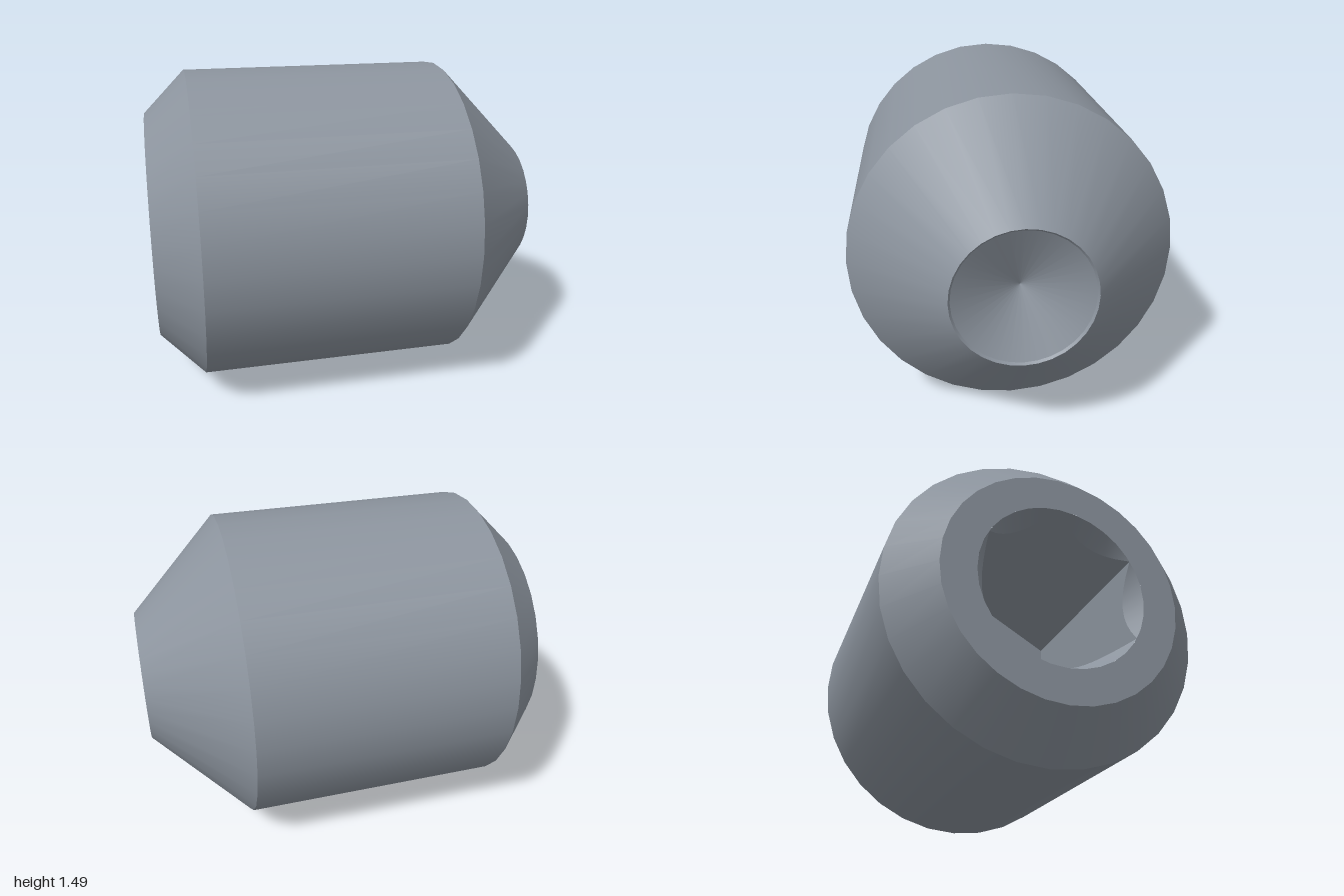
import * as THREE from 'three';
import { toCreasedNormals } from 'three/addons/utils/BufferGeometryUtils.js';

const SEGMENTS = 32;
const SOCKET_R = 0.385; // corner radius of the hex socket
const BACK = -0.903; // socket end, along the screw's own axis (local y)
const FLOOR = 0.05; // bottom of the socket

// Hex socket: conical lead-in trimmed by the flats, six walls and a floor.
function socketGeometry() {
  const steps = 48, perSide = steps / 6;
  const apothem = SOCKET_R * Math.cos(Math.PI / 6);
  const positions = [], index = [];
  for (let i = 0; i <= steps; i++) {
    const angle = (i / steps) * Math.PI * 2;
    const fromFlat = ((i % perSide) / perSide) * (Math.PI / 3) - Math.PI / 6;
    const hexR = apothem / Math.cos(fromFlat);
    const rings = [
      [SOCKET_R, BACK],
      [hexR, BACK + (SOCKET_R - hexR) * 1.73],
      [hexR, FLOOR],
      [0, FLOOR],
    ];
    for (const [r, y] of rings) positions.push(r * Math.cos(angle), y, r * Math.sin(angle));
  }
  for (let i = 0; i < steps; i++) {
    for (let j = 0; j < 3; j++) {
      const a = i * 4 + j, b = a + 4;
      index.push(a, b, a + 1);
      if (j < 2) index.push(b, b + 1, a + 1);
    }
  }
  const geometry = new THREE.BufferGeometry();
  geometry.setAttribute('position', new THREE.Float32BufferAttribute(positions, 3));
  geometry.setIndex(index);
  return toCreasedNormals(geometry, 0.4);
}

export function createModel() {
  const steel = new THREE.MeshStandardMaterial({ color: 0x8c949e });
  steel.name = 'steel';
  const model = new THREE.Group();
  model.name = 'setScrew';
  const screw = new THREE.Group();
  screw.name = 'screw';

  function add(name, geometry) {
    const mesh = new THREE.Mesh(geometry, steel);
    mesh.name = name;
    screw.add(mesh);
  }

  // Turned surfaces, one lathe each so the edges between them stay sharp
  const turned = [
    ['socketFace', [SOCKET_R, BACK], [0.545, BACK]],
    ['backChamfer', [0.545, BACK], [0.745, -0.704]],
    ['body', [0.745, -0.704], [0.745, 0.5245]],
    ['frontCone', [0.745, 0.5245], [0.312, 0.954]],
    ['cupLip', [0.312, 0.954], [0.303, 0.944]],
    ['cup', [0.303, 0.944], [0, 0.81]],
  ];
  for (const [name, start, end] of turned) {
    const profile = [new THREE.Vector2(...start), new THREE.Vector2(...end)];
    add(name, new THREE.LatheGeometry(profile, SEGMENTS));
  }
  add('hexSocket', socketGeometry());

  // Lay the screw on its side, turned slightly toward the front
  screw.rotation.set(0, -0.207, -Math.PI / 2);
  screw.position.set(-0.003, 0.745, 0.016);
  model.add(screw);
  return model;
}
